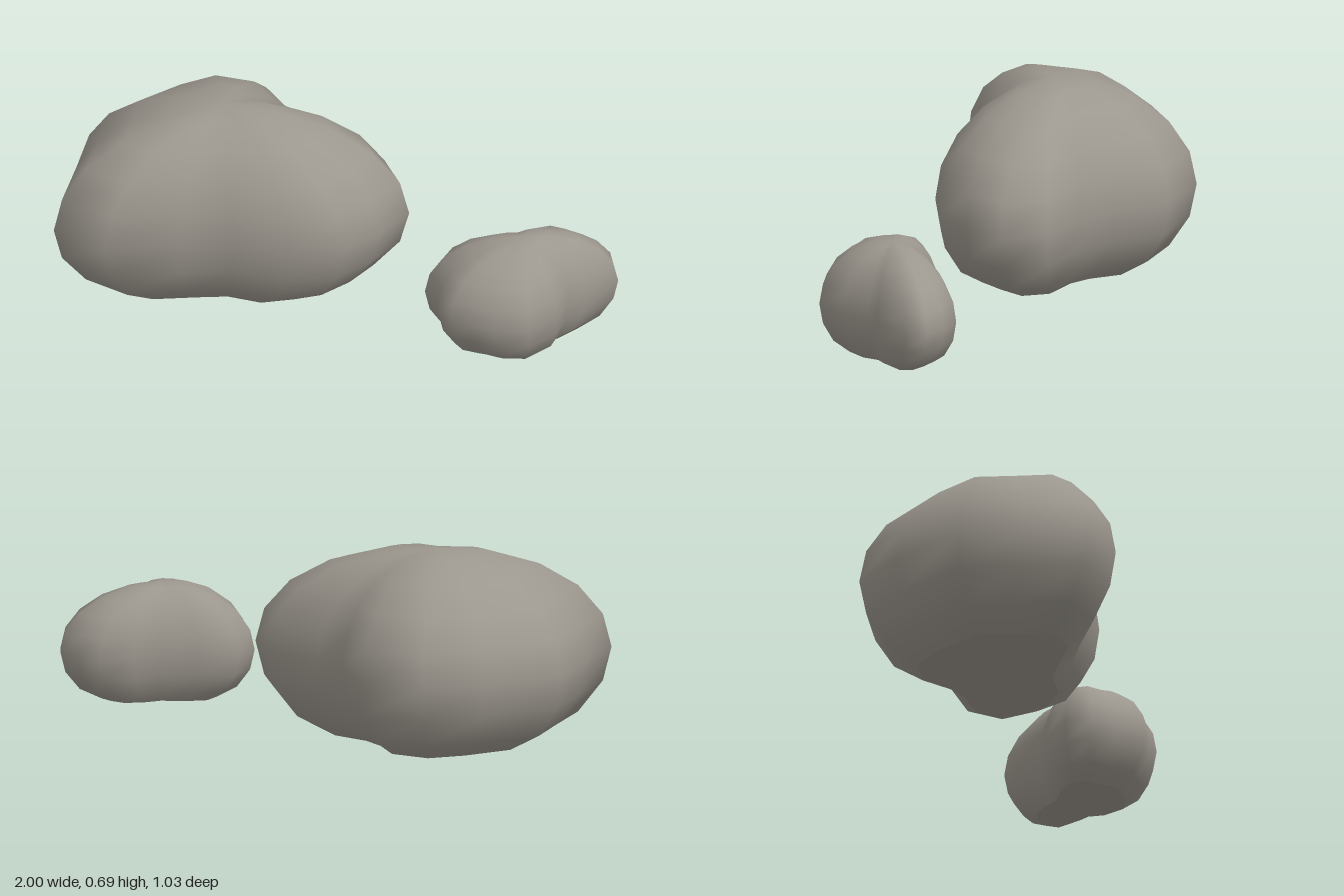
import * as THREE from 'three';

// Boulder: an ellipsoid whose plan follows an outline of [x, z] points, cut flat at the ground
function boulder(name, outline, [cx, cz], equator, radiusY, material) {
  const n = outline.length;
  const positions = [];
  const index = [];
  const rings = 8; // eight rings of 18 degrees each, from the ground up to the crown

  for (let r = 0; r < rings; r++) {
    const a = THREE.MathUtils.degToRad(-54 + 18 * r);
    const y = r === 0 ? 0 : equator + radiusY * Math.sin(a);
    const s = Math.cos(a);
    for (const [x, z] of outline) positions.push(cx + (x - cx) * s, y, cz + (z - cz) * s);
  }
  const crown = positions.length / 3;
  positions.push(cx, equator + radiusY, cz);

  // Sides and crown
  for (let r = 0; r < rings; r++) {
    for (let j = 0; j < n; j++) {
      const k = (j + 1) % n;
      const a = r * n + j;
      const b = r * n + k;
      if (r === rings - 1) index.push(a, crown, b);
      else index.push(a, a + n, b, b, a + n, b + n);
    }
  }
  const shell = new THREE.BufferGeometry();
  shell.setAttribute('position', new THREE.Float32BufferAttribute(positions, 3));
  shell.setIndex(index);
  shell.computeVertexNormals();

  // Flat underside
  const basePositions = [...positions.slice(0, n * 3), cx, 0, cz];
  const baseIndex = [];
  for (let j = 0; j < n; j++) baseIndex.push(n, j, (j + 1) % n);
  const base = new THREE.BufferGeometry();
  base.setAttribute('position', new THREE.Float32BufferAttribute(basePositions, 3));
  base.setIndex(baseIndex);
  base.computeVertexNormals();

  const group = new THREE.Group();
  group.name = name;
  const shellMesh = new THREE.Mesh(shell, material);
  shellMesh.name = name + 'Shell';
  const baseMesh = new THREE.Mesh(base, material);
  baseMesh.name = name + 'Underside';
  group.add(shellMesh, baseMesh);
  return group;
}

export function createModel() {
  const stone = new THREE.MeshStandardMaterial({ color: 0x9c978e });
  stone.name = 'stone grey';

  const largeOutline = [
    [0.225, -0.025], [0.145, 0.13], [0.04, 0.255], [-0.15, 0.325],
    [-0.36, 0.29], [-0.54, 0.33], [-0.8, 0.395], [-1, 0.3],
    [-0.985, 0.07], [-0.975, -0.165], [-0.76, -0.385], [-0.57, -0.52],
    [-0.33, -0.49], [-0.2, -0.325], [-0.08, -0.24], [0.14, -0.175],
  ];
  const smallOutline = [
    [0.9, 0.235], [0.85, 0.285], [0.83, 0.385], [0.745, 0.495],
    [0.62, 0.515], [0.53, 0.49], [0.455, 0.48], [0.41, 0.43],
    [0.39, 0.37], [0.335, 0.29], [0.36, 0.195], [0.49, 0.125],
    [0.62, 0.095], [0.7, 0.025], [0.81, -0.03], [0.9, -0.01],
    [0.975, 0.03], [1, 0.105],
  ];

  const model = new THREE.Group();
  model.name = 'rocks';
  model.add(
    boulder('largeRock', largeOutline, [-0.45, -0.02], 0.3, 0.395, stone),
    boulder('smallRock', smallOutline, [0.67, 0.245], 0.18, 0.236, stone),
  );
  return model;
}
